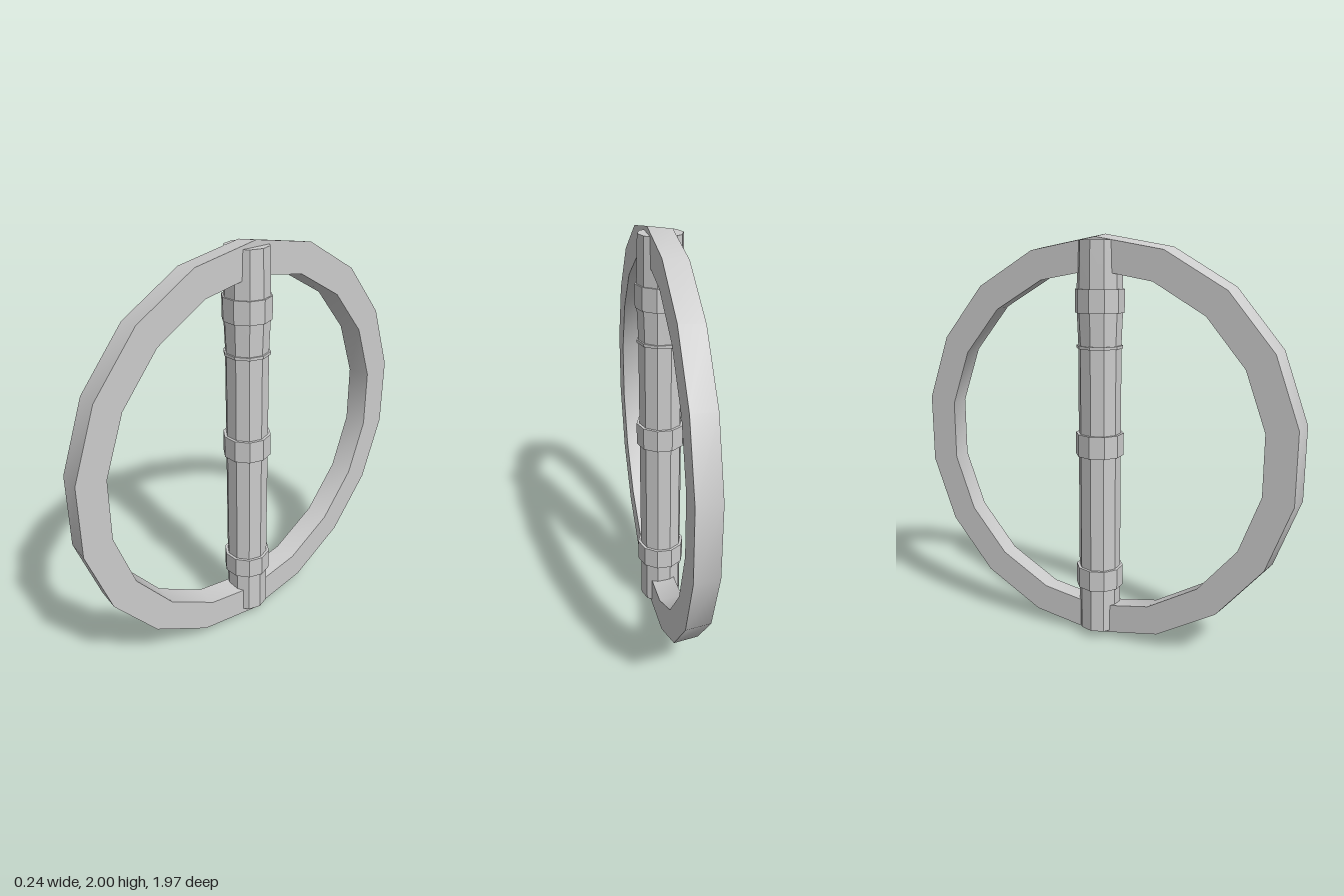
import * as THREE from 'three';
import { toCreasedNormals } from 'three/addons/utils/BufferGeometryUtils.js';

const material = new THREE.MeshStandardMaterial({ color: 0xcccccc });

// Faceted solid of revolution with a corner on the x axis, from [radius, height] pairs
function turned(name, profile, sides) {
  const points = profile.map(([r, y]) => new THREE.Vector2(r, y));
  const lathe = new THREE.LatheGeometry(points, sides, Math.PI / 2);
  const mesh = new THREE.Mesh(toCreasedNormals(lathe, Math.PI / 6), material);
  mesh.name = name;
  return mesh;
}

export function createModel() {
  const group = new THREE.Group();

  // Large upright hoop, slightly conical across its width
  const hoop = turned('hoop', [
    [0.985, -0.055], [1, 0.06], [0.85, 0.06], [0.838, -0.055], [0.985, -0.055],
  ], 18);
  hoop.geometry.rotateZ(-Math.PI / 2);
  hoop.position.y = 1;
  group.add(hoop);

  // Ten-sided central shaft, swelling a little in the upper section
  group.add(turned('shaft', [
    [0, 0.04], [0.104, 0.04], [0.104, 1.48], [0.104, 1.49],
    [0.11, 1.64], [0.11, 1.75], [0.104, 1.97], [0, 1.97],
  ], 10));

  // Raised bands and the thin lip around the shaft
  const collar = (name, radius, bottom, top) => group.add(turned(name, [
    [0.09, bottom], [radius, bottom], [radius, top], [0.09, top],
  ], 10));
  collar('lowerBand', 0.118, 0.265, 0.37);
  collar('middleBand', 0.118, 0.95, 1.06);
  collar('upperBand', 0.118, 1.64, 1.75);
  collar('thinLip', 0.112, 1.473, 1.487);

  return group;
}
